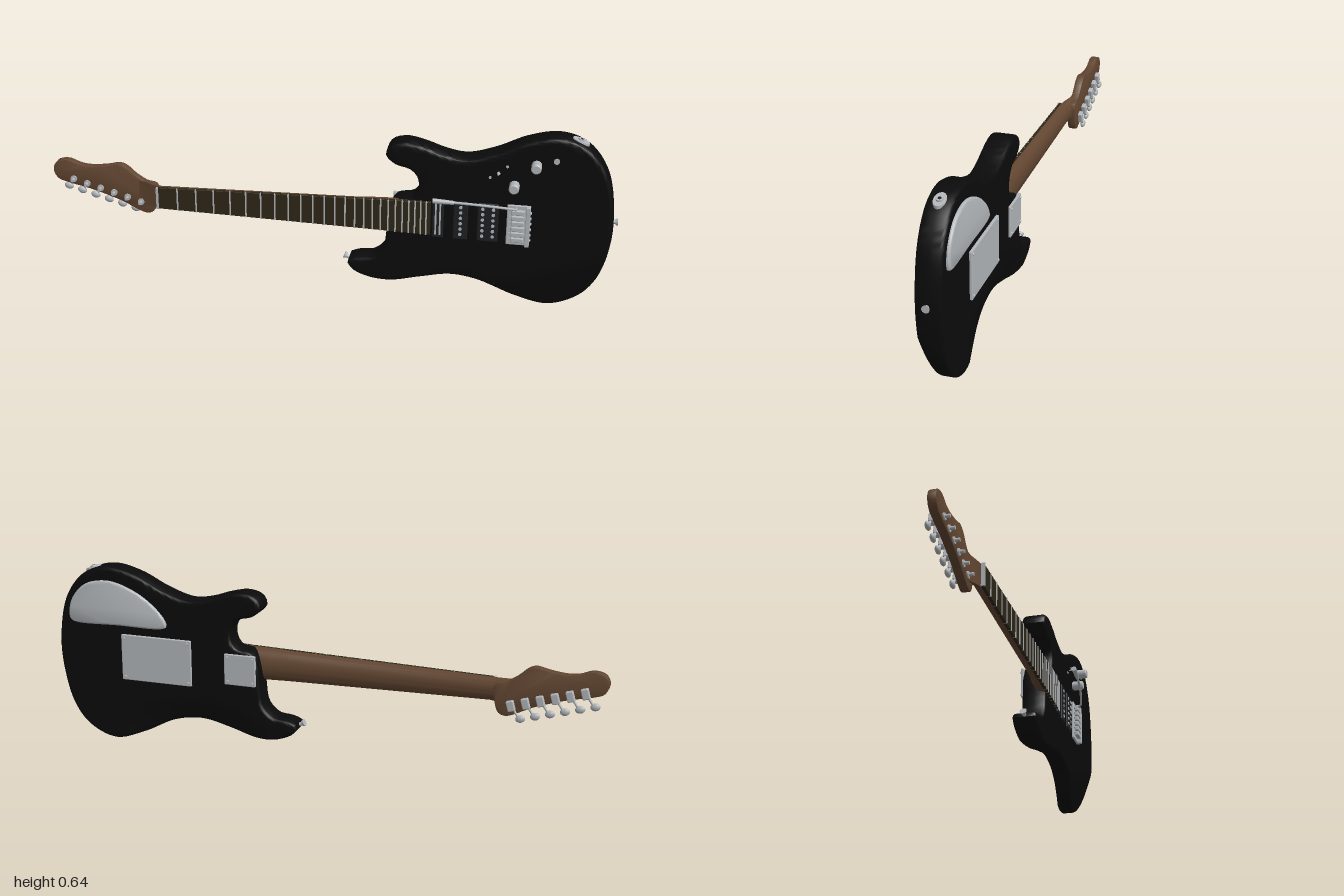
import * as THREE from 'three';
import { mergeVertices, toCreasedNormals } from 'three/addons/utils/BufferGeometryUtils.js';
import { RoundedBoxGeometry } from 'three/addons/geometries/RoundedBoxGeometry.js';

const mat = (name, color) => Object.assign(new THREE.MeshStandardMaterial({ color }), { name });
const V = (x, y, z) => new THREE.Vector3(x, y, z);

// Smooth closed shape through a few points
function outline(pts, n) {
  const curve = new THREE.CatmullRomCurve3(pts.map(([x, y]) => V(x, y, 0)), true, 'centripetal');
  return new THREE.Shape(curve.getSpacedPoints(n).slice(0, n).map(p => new THREE.Vector2(p.x, p.y)));
}

// Rounded slab between two z planes
function slab(shape, z0, z1, bevel, segments = 3) {
  const g = new THREE.ExtrudeGeometry(shape, {
    depth: z1 - z0 - 2 * bevel, bevelThickness: bevel, bevelSize: bevel, bevelOffset: -bevel,
    bevelSegments: segments, steps: 1,
  });
  return g.translate(0, 0, z0 + bevel);
}

// Split every edge longer than max, so that a surface can be carved
function refine(geometry, max) {
  const src = geometry.index ? geometry.toNonIndexed() : geometry;
  const p = src.attributes.position, out = [];
  const mid = (a, b) => a.clone().add(b).multiplyScalar(0.5);
  const split = (a, b, c) => {
    const t = [a, b, c];
    const long = t.map((v, i) => v.distanceToSquared(t[(i + 1) % 3]) > max * max);
    const count = long.filter(Boolean).length;
    if (count === 0) { t.forEach(v => out.push(v.x, v.y, v.z)); return; }
    // Rotate so the first edge is long and, for two, the third is short
    let s = long.indexOf(true);
    if (count === 2) s = (long.indexOf(false) + 1) % 3;
    const [A, B, C] = [t[s], t[(s + 1) % 3], t[(s + 2) % 3]];
    const ab = mid(A, B), bc = mid(B, C), ca = mid(C, A);
    if (count === 1) { split(A, ab, C); split(ab, B, C); }
    else if (count === 2) { split(ab, B, bc); split(A, ab, bc); split(A, bc, C); }
    else { split(A, ab, ca); split(ab, B, bc); split(ca, bc, C); split(ab, bc, ca); }
  };
  const at = i => new THREE.Vector3().fromBufferAttribute(p, i);
  for (let i = 0; i < p.count; i += 3) split(at(i), at(i + 1), at(i + 2));
  return new THREE.BufferGeometry().setAttribute('position', new THREE.Float32BufferAttribute(out, 3));
}

export function createModel() {
  const root = new THREE.Group();
  root.name = 'electricGuitar';
  const black = mat('body black', 0x0b0b0b), wood = mat('neck wood', 0x624631);
  const board = mat('fingerboard wood', 0x2e2617), metal = mat('hardware metal', 0xb2b6ba);
  const pickupMat = mat('pickup grey', 0x1e1f20);

  const add = (name, geometry, material, x = 0, y = 0, z = 0) => {
    const m = new THREE.Mesh(geometry, material);
    m.name = name;
    m.position.set(x, y, z);
    root.add(m);
    return m;
  };
  const rod = (name, a, b, r0, r1 = r0, material = metal, sides = 16) => {
    const d = b.clone().sub(a);
    const m = add(name, new THREE.CylinderGeometry(r1, r0, d.length(), sides), material);
    m.position.copy(a).addScaledVector(d, 0.5);
    m.quaternion.setFromUnitVectors(V(0, 1, 0), d.normalize());
    return m;
  };
  const box = (name, x0, x1, y0, y1, z0, z1, material, r = 0) => add(name,
    r ? new RoundedBoxGeometry(x1 - x0, y1 - y0, z1 - z0, 2, r) : new THREE.BoxGeometry(x1 - x0, y1 - y0, z1 - z0),
    material, (x0 + x1) / 2, (y0 + y1) / 2, (z0 + z1) / 2);

  // Body with forearm and belly contours
  const FRONT = 0.012, BACK = -0.075, DEPTH = FRONT - BACK;
  const bodyShape = outline([
    [0.2, 0.54], [0.215, 0.575], [0.265, 0.59], [0.33, 0.578], [0.4, 0.555], [0.473, 0.545], [0.57, 0.573],
    [0.676, 0.622], [0.783, 0.643], [0.874, 0.613], [0.944, 0.524], [0.976, 0.374], [0.97, 0.25],
    [0.933, 0.12], [0.874, 0.045], [0.773, 0.004], [0.66, 0.035], [0.543, 0.09], [0.436, 0.107],
    [0.33, 0.087], [0.222, 0.063], [0.142, 0.069], [0.085, 0.095], [0.069, 0.125], [0.104, 0.142],
    [0.158, 0.15], [0.195, 0.187], [0.206, 0.25], [0.212, 0.33], [0.235, 0.375], [0.295, 0.39],
    [0.314, 0.425], [0.31, 0.465], [0.284, 0.493], [0.233, 0.508],
  ], 170);
  let body = refine(slab(bodyShape, BACK, FRONT, 0.013, 4), 0.045);
  const bp = body.attributes.position;
  for (let i = 0; i < bp.count; i++) {
    const x = bp.getX(i), y = bp.getY(i);
    let z = bp.getZ(i);
    const arm = x > 0.42 ? Math.max(0, 0.04 + 0.35 * (x - 0.45) - y) * 0.25 : 0;
    const belly = Math.max(0, 0.16 - Math.hypot((x - 0.45) / 1.8, y - 0.03)) * 0.3;
    z += (belly * (FRONT - z) - arm * (z - BACK)) / DEPTH;
    bp.setZ(i, z);
  }
  body = toCreasedNormals(mergeVertices(body, 1e-5), 0.6);
  add('body', body, black);

  // Neck: D-shaped sections [x, centre y, half width, top z, back z]
  const sections = [
    [-0.7, 0.318, 0.05, -0.013, -0.04], [-0.66, 0.318, 0.046, -0.008, -0.04], [-0.63, 0.318, 0.042, 0.004, -0.032],
    [-0.6, 0.318, 0.04, 0.011, -0.023], [0.12, 0.321, 0.055, 0.011, -0.027],
    [0.18, 0.322, 0.057, 0.011, -0.036], [0.33, 0.322, 0.06, 0.011, -0.036],
  ];
  const N = 16, pos = [], idx = [];
  sections.forEach(([x, cy, w, top, back], s) => {
    for (let i = 0; i <= N; i++) {
      const a = Math.PI * i / N;
      pos.push(x, cy + w * Math.cos(a), top - (top - back) * Math.pow(Math.sin(a), 0.75));
    }
    const row = s * (N + 1);
    for (let i = 0; s < sections.length - 1 && i <= N; i++) {
      const a = row + i, b = row + (i + 1) % (N + 1), c = a + N + 1, d = b + N + 1;
      idx.push(a, b, c, b, d, c);
    }
  });
  const last = (sections.length - 1) * (N + 1);
  for (let i = 1; i < N; i++) idx.push(0, i + 1, i, last, last + i, last + i + 1);
  const neck = new THREE.BufferGeometry().setAttribute('position', new THREE.Float32BufferAttribute(pos, 3));
  neck.setIndex(idx);
  wood.side = THREE.DoubleSide;
  add('neck', toCreasedNormals(neck, 0.7), wood);

  // Headstock
  const head = outline([
    [-0.622, 0.35], [-0.66, 0.36], [-0.7, 0.385], [-0.728, 0.41], [-0.755, 0.421], [-0.8, 0.412], [-0.86, 0.405],
    [-0.9, 0.409], [-0.945, 0.424], [-0.985, 0.415], [-1, 0.385], [-0.985, 0.352], [-0.95, 0.338],
    [-0.87, 0.32], [-0.76, 0.284], [-0.66, 0.241], [-0.635, 0.25], [-0.622, 0.285],
  ], 90);
  add('headstock', toCreasedNormals(slab(head, -0.04, -0.011, 0.003, 2), 0.6), wood);

  // Tuners
  for (let i = 0; i < 6; i++) {
    const x = -0.925 + i * 0.0492, y = 0.354 - i * 0.0138;
    rod('tunerBushing', V(x, y, -0.012), V(x, y, -0.006), 0.012);
    rod('tunerPost', V(x, y, -0.01), V(x, y, 0.01), 0.006);
    const gear = box('tunerHousing', x - 0.013, x + 0.013, y - 0.022, y + 0.015, -0.056, -0.039, metal, 0.004);
    gear.rotation.z = -0.27;
    rod('tunerShaft', V(x, y, -0.048), V(x - 0.027, y - 0.04, -0.048), 0.004);
    const key = add('tunerButton', new THREE.SphereGeometry(1, 14, 10), metal, x - 0.034, y - 0.045, -0.048);
    key.scale.set(0.017, 0.013, 0.009);
    key.rotation.z = -0.27;
  }

  // Fingerboard, nut and frets
  const half = x => 0.04 + (x + 0.607) * 0.0227, centre = x => 0.318 + (x + 0.607) * 0.004;
  const edge = (x, s) => [x, centre(x) + s * half(x)];
  const fb = new THREE.Shape([edge(-0.607, -1), edge(0.36, -1), edge(0.36, 1), edge(-0.607, 1)]
    .map(p => new THREE.Vector2(...p)));
  add('fingerboard', slab(fb, 0.01, 0.021, 0.001, 1), board);
  const bar = (name, x, w, z1) =>
    box(name, x - w / 2, x + w / 2, centre(x) - half(x), centre(x) + half(x), 0.012, z1, metal);
  bar('nut', -0.609, 0.008, 0.025);
  for (let f = 1; f <= 24; f++) bar('fret', -0.607 + 1.27 * (1 - Math.pow(2, -f / 12)), 0.005, 0.0235);

  // Pickups: twin blades at the neck, pole pieces elsewhere
  box('neckPickup', 0.366, 0.405, 0.25, 0.392, 0.005, 0.018, pickupMat, 0.004);
  for (const x of [0.378, 0.393]) box('pickupBlade', x - 0.003, x + 0.003, 0.262, 0.38, 0.012, 0.02, metal);
  const pickup = (name, x0, x1, columns) => {
    box(name, x0, x1, 0.25, 0.392, 0.005, 0.018, pickupMat, 0.004);
    for (const x of columns) for (let i = 0; i < 6; i++) {
      const y = 0.27 + i * 0.0204;
      rod('polePiece', V(x, y, 0.014), V(x, y, 0.0205), 0.006, 0.006, metal, 12);
    }
  };
  pickup('middlePickup', 0.438, 0.488, [0.463]);
  pickup('bridgePickup', 0.52, 0.592, [0.538, 0.574]);

  // Bridge with six saddles, and the tremolo arm
  box('bridgePlate', 0.62, 0.7, 0.247, 0.395, 0.01, 0.02, metal, 0.003);
  box('bridgeBlock', 0.685, 0.7, 0.247, 0.395, 0.012, 0.034, metal, 0.002);
  for (let i = 0; i < 6; i++) {
    const y = 0.27 + i * 0.0204;
    box('saddle', 0.636, 0.68, y - 0.0085, y + 0.0085, 0.018, 0.034, metal, 0.003);
    rod('saddleScrew', V(0.698, y, 0.024), V(0.704, y, 0.024), 0.005, 0.005, metal, 10);
    rod('bridgeScrew', V(0.628, y, 0.019), V(0.628, y, 0.024), 0.005, 0.005, metal, 10);
  }
  const armPath = new THREE.CatmullRomCurve3([
    V(0.65, 0.386, 0.02), V(0.652, 0.388, 0.038), V(0.63, 0.394, 0.047), V(0.51, 0.41, 0.069), V(0.38, 0.417, 0.079),
  ]);
  add('tremoloArm', new THREE.TubeGeometry(armPath, 30, 0.0045, 8), metal);
  rod('tremoloArmTip', V(0.445, 0.414, 0.0755), V(0.372, 0.418, 0.08), 0.007, 0.009);

  // Knobs, selector switch and small switch
  for (const [x, y] of [[0.71, 0.547], [0.64, 0.468]]) {
    rod('knobBase', V(x, y, 0.01), V(x, y, 0.018), 0.012);
    rod('knob', V(x, y, 0.016), V(x, y, 0.051), 0.0175, 0.0175, metal, 24);
    rod('knobTop', V(x, y, 0.051), V(x, y, 0.055), 0.0175, 0.014, metal, 24);
  }
  rod('selectorLever', V(0.585, 0.511, 0.01), V(0.585, 0.511, 0.026), 0.0025);
  rod('selectorTip', V(0.585, 0.511, 0.024), V(0.585, 0.511, 0.038), 0.006, 0.002);
  for (const s of [-1, 1]) rod('selectorScrew', V(0.585 + s * 0.028, 0.511 + s * 0.022, 0.01),
    V(0.585 + s * 0.028, 0.511 + s * 0.022, 0.0145), 0.005);
  rod('smallSwitch', V(0.775, 0.565, 0.01), V(0.775, 0.565, 0.018), 0.01);

  // Output jack on the upper edge
  const normal = V(0.33, 0.944, 0), seat = V(0.848, 0.624, -0.03);
  const jack = (name, from, to, r, material) =>
    rod(name, seat.clone().addScaledVector(normal, from), seat.clone().addScaledVector(normal, to), r, r * 0.9, material, 24);
  jack('jackPlate', -0.006, 0.007, 0.022, metal).scale.x = 1.5;
  jack('jackNut', 0.006, 0.012, 0.012, metal);
  jack('jackHole', 0.011, 0.0125, 0.006, pickupMat);

  // Strap pins
  const pin = (x, y, dx, dy) => {
    const p = t => V(x + dx * t, y + dy * t, -0.03);
    rod('strapPinStem', p(-0.01), p(0.014), 0.007);
    rod('strapPinHead', p(0.012), p(0.02), 0.01, 0.013);
  };
  pin(0.972, 0.34, 1, 0);
  pin(0.072, 0.122, -0.9, 0.44);

  // Back plates with corner screws
  const plate = (name, x0, x1, y0, y1, z) => {
    box(name, x0, x1, y0, y1, z, -0.07, metal, 0.003);
    for (const x of [x0 + 0.012, x1 - 0.012]) for (const y of [y0 + 0.012, y1 - 0.012])
      rod('plateScrew', V(x, y, z + 0.002), V(x, y, z - 0.003), 0.006, 0.004, metal, 10);
  };
  plate('springCover', 0.46, 0.728, 0.235, 0.403, -0.084);
  plate('neckPlate', 0.218, 0.334, 0.258, 0.37, -0.083);
  const cover = outline([
    [0.928, 0.445], [0.922, 0.51], [0.87, 0.573], [0.8, 0.594], [0.735, 0.588], [0.635, 0.543],
    [0.562, 0.475], [0.552, 0.445], [0.57, 0.436], [0.74, 0.434], [0.91, 0.434],
  ], 70);
  add('controlCover', toCreasedNormals(slab(cover, -0.086, -0.065, 0.008, 4), 0.6), metal);
  return root;
}
